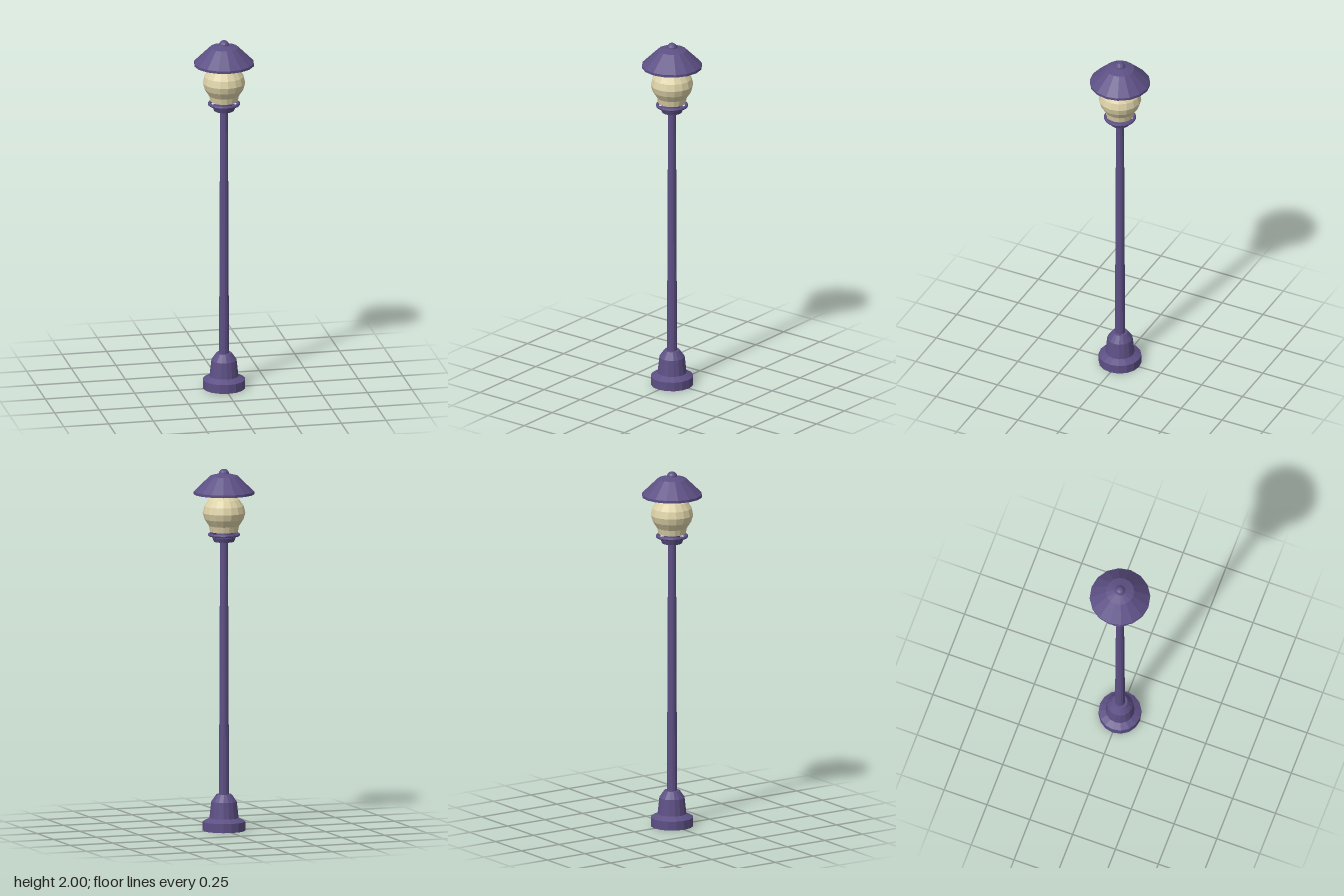
import * as THREE from 'three';

export function createModel() {
  const lamp = new THREE.Group();
  lamp.name = 'streetLamp';

  const purpleMetal = new THREE.MeshStandardMaterial({ color: 0x5d5085, flatShading: true });
  purpleMetal.name = 'purple metal';
  const creamGlass = new THREE.MeshStandardMaterial({ color: 0xddd2a8, flatShading: true });
  creamGlass.name = 'cream glass';

  const add = (name, geometry, material, y = 0) => {
    const mesh = new THREE.Mesh(geometry, material);
    mesh.name = name;
    mesh.position.y = y;
    lamp.add(mesh);
    return mesh;
  };

  // Turned part from [radius, height] pairs, listed bottom to top
  const turned = (name, profile, material, sides = 16) =>
    add(name, new THREE.LatheGeometry(profile.map(([r, y]) => new THREE.Vector2(r, y)), sides), material);

  // Stepped foot
  turned('base', [
    [0, 0], [0.117, 0], [0.117, 0.05], [0.08, 0.07],
    [0.07, 0.16], [0.042, 0.2], [0, 0.2],
  ], purpleMetal);

  // Slightly tapered post
  add('post', new THREE.CylinderGeometry(0.022, 0.028, 1.42, 12), purpleMetal, 0.9);

  // Collar and neck under the globe
  turned('collar', [
    [0, 1.597], [0.055, 1.597], [0.065, 1.622], [0.045, 1.627], [0.04, 1.66], [0, 1.66],
  ], purpleMetal);

  // Open ring around the neck
  const ring = add('collarRing', new THREE.TorusGeometry(0.08, 0.009, 8, 24), purpleMetal, 1.636);
  ring.rotation.x = Math.PI / 2;

  // Glass globe, flared at its foot
  turned('globe', [
    [0, 1.652], [0.076, 1.652], [0.083, 1.685], [0.107, 1.722], [0.117, 1.757],
    [0.108, 1.795], [0.084, 1.83], [0.045, 1.862], [0, 1.875],
  ], creamGlass);

  // Shade with a thin rim and a closed underside
  turned('shade', [
    [0, 1.86], [0.166, 1.86], [0.166, 1.874], [0.078, 1.96], [0.028, 1.974], [0, 1.974],
  ], purpleMetal);

  // Knob on top
  add('finial', new THREE.SphereGeometry(0.03, 12, 8), purpleMetal, 1.97);

  return lamp;
}
